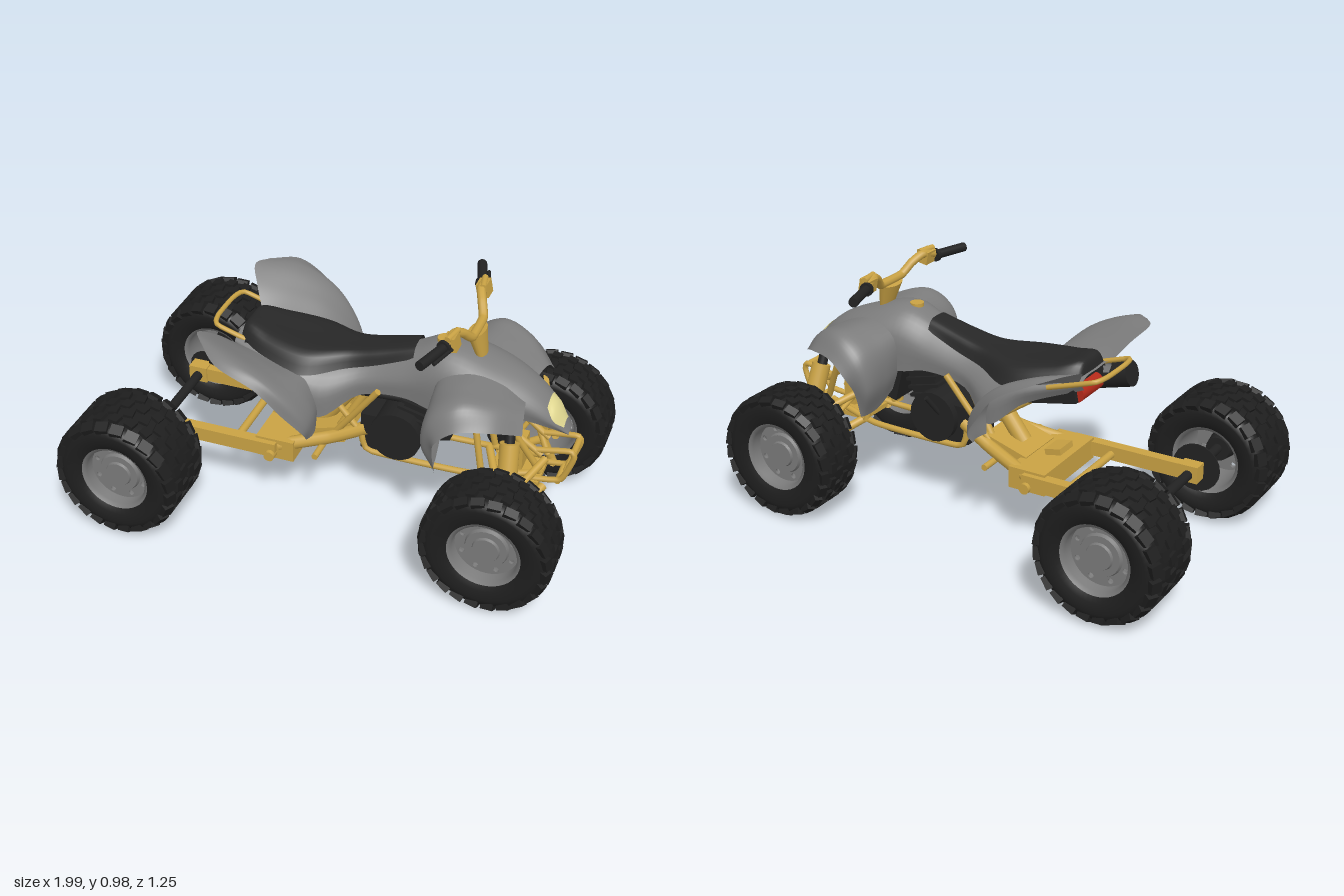
import * as THREE from 'three';
import { mergeGeometries } from 'three/addons/utils/BufferGeometryUtils.js';

const material = (name, color, side = THREE.DoubleSide) => {
  const m = new THREE.MeshStandardMaterial({ color, side });
  m.name = name;
  return m;
};
const V = (p) => new THREE.Vector3(...p);
const SIDES = [1, -1];

export function createModel() {
  const gold = material('gold metal', 0xc9a244, THREE.FrontSide);
  const grey = material('grey bodywork', 0x7d7d7d);
  const rimGrey = material('rim grey', 0x7a7a7a);
  const rubber = material('tyre rubber', 0x1e1e1e);
  const black = material('black parts', 0x222222);
  const seatBlack = material('seat black', 0x272727);
  const lens = material('headlight lens', 0xe2d992);
  const red = material('tail light red', 0xb52a1a);

  const model = new THREE.Group();
  model.name = 'quadBike';

  const add = (name, geo, mat, parent = model) => {
    const mesh = new THREE.Mesh(geo, mat);
    mesh.name = name;
    parent.add(mesh);
    return mesh;
  };
  // Bent tube through points
  const tube = (name, pts, r, mat = gold) => {
    const curve = new THREE.CatmullRomCurve3(pts.map(V), false, 'catmullrom', 0.25);
    return add(name, new THREE.TubeGeometry(curve, pts.length * 6, r, 10), mat);
  };
  // Capped cylinder from a to b
  const rod = (name, a, b, r, mat = gold, r2 = r) => {
    const d = V(b).sub(V(a));
    const mesh = add(name, new THREE.CylinderGeometry(r2, r, d.length(), 20), mat);
    mesh.position.copy(V(a)).addScaledVector(d, 0.5);
    mesh.quaternion.setFromUnitVectors(new THREE.Vector3(0, 1, 0), d.normalize());
    return mesh;
  };
  const box = (name, size, pos, mat = gold, tilt = 0) => {
    const mesh = add(name, new THREE.BoxGeometry(...size), mat);
    mesh.position.set(...pos);
    mesh.rotation.z = tilt;
    return mesh;
  };
  // Smooth surface through rows of points
  const skin = (name, rows, mat, nu = 18, nv = 36) => {
    const across = rows.map((r) => new THREE.CatmullRomCurve3(r.map(V), false, 'centripetal').getPoints(nu));
    const pos = [], idx = [];
    for (let i = 0; i <= nu; i++) {
      const line = new THREE.CatmullRomCurve3(across.map((a) => a[i]), false, 'centripetal');
      for (let j = 0; j <= nv; j++) pos.push(...line.getPoint(j / nv).toArray());
    }
    for (let i = 0; i < nu; i++) for (let j = 0; j < nv; j++) {
      const a = i * (nv + 1) + j, b = a + nv + 1;
      idx.push(a, a + 1, b, b, a + 1, b + 1);
    }
    const geo = new THREE.BufferGeometry();
    geo.setAttribute('position', new THREE.Float32BufferAttribute(pos, 3));
    geo.setIndex(idx);
    geo.computeVertexNormals();
    return add(name, geo, mat);
  };
  // Symmetric row: x, then [y, z] pairs from the centre outwards
  const rib = (x, ...half) => [
    ...half.slice(1).reverse().map(([y, z]) => [x, y, -z]), ...half.map(([y, z]) => [x, y, z])];

  // Wheels: tyre, staggered tread knobs, open dished rim
  const wheel = (name, x, z, w, s) => {
    const g = new THREE.Group();
    g.name = name;
    const prof = [[.138, -.85], [.165, -.96], [.205, -1], [.232, -.93], [.243, -.75], [.248, -.3]];
    const pts = [...prof, ...prof.slice().reverse().map(([r, t]) => [r, -t])];
    add('tyre', new THREE.LatheGeometry(pts.map(([r, t]) => new THREE.Vector2(r, t * w)), 48)
      .rotateX(Math.PI / 2), rubber, g);
    const knobs = [];
    [-.86, -.52, -.17, .17, .52, .86].forEach((t, k) => {
      const edge = Math.abs(t) > .8;
      for (let i = 0; i < 24; i++) {
        const b = new THREE.BoxGeometry(edge ? .05 : .038, .026, w * .29);
        if (edge) b.rotateX(Math.sign(t) * .45);
        b.rotateY((k % 2 ? 1 : -1) * .15).translate(0, edge ? .237 : .246, t * w);
        knobs.push(b.rotateZ((i + (k % 2) / 2) * Math.PI / 12));
      }
    });
    add('tread', mergeGeometries(knobs), rubber, g);
    const barrel = [[.142, -.88], [.126, -.8], [.122, 0], [.126, .8], [.142, .88]];
    add('rimBarrel', new THREE.LatheGeometry(barrel.map(([r, t]) => new THREE.Vector2(r, t * w)), 40)
      .rotateX(Math.PI / 2), rimGrey, g);
    const disc = new THREE.Shape().absarc(0, 0, .124, 0, Math.PI * 2);
    for (let i = 0; i < 8; i++) {
      const a = (i + .5) * Math.PI / 4;
      disc.holes.push(new THREE.Path().absarc(.104 * Math.cos(a), .104 * Math.sin(a), .011, 0, Math.PI * 2, true));
    }
    const face = w * .85 - .06;
    add('rimDisc', new THREE.ExtrudeGeometry(disc, { depth: .012, bevelEnabled: false, curveSegments: 20 })
      .translate(0, 0, face), rimGrey, g);
    add('hub', new THREE.CylinderGeometry(.08, .088, .02, 28).rotateX(Math.PI / 2)
      .translate(0, 0, face + .016), rimGrey, g);
    add('hubCap', new THREE.CylinderGeometry(.05, .055, .012, 24).rotateX(Math.PI / 2)
      .translate(0, 0, face + .03), rimGrey, g);
    add('brakeDrum', new THREE.CylinderGeometry(.06, .05, .06, 24).rotateX(Math.PI / 2)
      .translate(0, 0, face - .05), black, g);
    g.position.set(x, .265, z * s);
    if (s < 0) g.rotation.y = Math.PI;
    model.add(g);
  };
  for (const s of SIDES) {
    wheel('rearWheel', -.74, .465, .15, s);
    wheel('frontWheel', .735, .43, .112, s);
  }

  // Body shell from tail to nose
  skin('bodyShell', [
    rib(-.42, [.71, 0], [.71, .08], [.69, .12], [.66, .1]),
    rib(-.2, [.69, 0], [.68, .13], [.64, .19], [.58, .17]),
    rib(-.05, [.67, 0], [.66, .11], [.58, .19], [.47, .2]),
    rib(.1, [.69, 0], [.68, .07], [.62, .12], [.56, .12]),
    rib(.28, [.76, 0], [.75, .06], [.67, .12], [.59, .12]),
    rib(.42, [.82, 0], [.8, .08], [.72, .14], [.57, .14]),
    rib(.6, [.78, 0], [.76, .09], [.7, .16], [.62, .16]),
    rib(.75, [.715, 0], [.695, .07], [.65, .11], [.59, .1]),
    rib(.85, [.625, 0], [.61, .05], [.58, .07], [.55, .06]),
    rib(.91, [.525, 0], [.522, .02], [.518, .03], [.51, .02])], grey, 24, 48);
  skin('seat', [
    rib(-.41, [.70, 0], [.70, .06], [.69, .09]),
    rib(-.39, [.755, 0], [.75, .07], [.69, .11]),
    rib(-.28, [.738, 0], [.73, .11], [.67, .16]),
    rib(-.12, [.718, 0], [.71, .13], [.64, .185]),
    rib(.04, [.722, 0], [.715, .075], [.66, .105]),
    rib(.16, [.748, 0], [.74, .062], [.69, .085]),
    rib(.3, [.788, 0], [.78, .05], [.745, .075])], seatBlack, 20, 36);
  skin('headlight', [
    rib(.826, [.657, 0], [.652, .025], [.638, .055]),
    rib(.855, [.629, 0], [.618, .04], [.59, .068]),
    rib(.892, [.566, 0], [.562, .018], [.55, .036])], lens, 12, 12);

  for (const s of SIDES) {
    const flip = (rows) => rows.map((r) => r.map(([x, y, z]) => [x, y, z * s]));
    skin('rearFender', flip([
      [[-.41, .69, .13], [-.46, .76, .2], [-.5, .81, .28], [-.46, .81, .34]],
      [[-.32, .69, .16], [-.33, .74, .25], [-.35, .79, .36], [-.36, .78, .43]],
      [[-.2, .66, .18], [-.2, .7, .28], [-.2, .72, .38], [-.21, .69, .415]],
      [[-.1, .62, .18], [-.1, .63, .28], [-.1, .62, .36], [-.12, .58, .385]],
      [[-.05, .52, .19], [-.04, .53, .26], [-.04, .51, .32], [-.05, .48, .34]],
      [[-.05, .43, .2], [-.04, .43, .24], [-.04, .43, .27], [-.05, .43, .3]]]), grey);
    skin('frontFender', flip([
      [[.44, .48, .13], [.45, .43, .22], [.46, .42, .29], [.47, .42, .31]],
      [[.41, .58, .13], [.41, .56, .22], [.42, .55, .33], [.47, .54, .35]],
      [[.42, .72, .11], [.43, .7, .22], [.45, .68, .34], [.49, .61, .385]],
      [[.53, .76, .11], [.53, .76, .22], [.55, .75, .325], [.56, .67, .38]],
      [[.66, .73, .1], [.66, .735, .19], [.67, .73, .27], [.68, .67, .335]],
      [[.75, .67, .09], [.76, .675, .14], [.77, .665, .19], [.78, .62, .24]]]), grey);

    // Swing arm and axle carriers
    box('swingArm', [.52, .06, .045], [-.48, .275, .2 * s]);
    box('axleCarrier', [.08, .07, .06], [-.74, .275, .2 * s]);
    tube('swingArmBrace', [[-.22, .28, .18 * s], [-.02, .33, .12 * s], [.12, .39, .09 * s]], .027);
    rod('footPeg', [-.05, .29, .1 * s], [-.05, .29, .22 * s], .013);

    // Frame rails and struts
    tube('lowerRail', [[-.02, .5, .09 * s], [.1, .37, .1 * s], [.14, .29, .1 * s], [.55, .29, .1 * s],
      [.8, .33, .06 * s]], .013);
    tube('upperRail', [[-.35, .64, .09 * s], [.05, .6, .1 * s], [.4, .68, .08 * s], [.55, .62, .07 * s],
      [.82, .42, .06 * s]], .013);
    rod('frontStrut', [.52, .72, .06 * s], [.6, .29, .1 * s], .013);
    rod('noseStrut', [.68, .62, .14 * s], [.82, .34, .06 * s], .013);
    rod('seatStrut', [-.05, .29, .1 * s], [.18, .6, .13 * s], .013);
    rod('rearStrut', [-.02, .32, .08 * s], [.12, .56, .06 * s], .016);
    rod('subframeStrut', [-.02, .45, .1 * s], [-.3, .64, .1 * s], .012);

    // Front suspension
    for (const [y0, y1, r] of [[.29, .21, .017], [.42, .35, .015]])
      for (const x of [.62, .84]) rod('suspensionArm', [x, y0, .08 * s], [.74, y1, .33 * s], r);
    rod('tieRod', [.68, .38, .05 * s], [.68, .29, .33 * s], .01);
    rod('steeringKnuckle', [.74, .19, .33 * s], [.74, .38, .33 * s], .022);
    rod('stubAxle', [.74, .265, .32 * s], [.74, .265, .46 * s], .02, black);
    rod('shockBody', [.745, .385, .28 * s], [.73, .56, .215 * s], .038);
    rod('shockTop', [.73, .545, .217 * s], [.725, .61, .195 * s], .02, black);
    rod('shockFoot', [.745, .28, .3 * s], [.745, .39, .276 * s], .014);

    // Handlebar half: clamp, grip, lever
    box('barClamp', [.045, .055, .06], [.488, .943, .205 * s], gold, .2);
    rod('leverMount', [.495, .97, .16 * s], [.48, .97, .24 * s], .012);
    rod('gripFlange', [.47, .938, .235 * s], [.467, .938, .25 * s], .027, black);
    rod('grip', [.467, .938, .25 * s], [.425, .938, .39 * s], .019, black);
    rod('lever', [.5, .93, .22 * s], [.465, .93, .35 * s], .007, black);

    // Front bumper side
    tube('bumperSide', [[.8, .44, .06 * s], [.93, .46, .055 * s], [.945, .43, .055 * s],
      [.9, .32, .055 * s], [.78, .3, .06 * s]], .012);
  }

  // Swing arm centre, axle and brake discs
  rod('rearAxle', [-.74, .27, -.45], [-.74, .27, .45], .02, black);
  rod('brakeDisc', [-.74, .27, .248], [-.74, .27, .254], .1, black);
  rod('sprocket', [-.74, .27, -.254], [-.74, .27, -.248], .07, black);
  box('swingArmPlate', [.16, .09, .4], [-.23, .27, 0]);
  box('skidPlate', [.13, .03, .25], [-.23, .225, 0]);
  box('swingArmNeck', [.2, .07, .22], [-.07, .315, 0], gold, .3);
  box('linkLug', [.07, .025, .1], [-.26, .34, 0], gold, -.2);
  rod('crossTube', [-.4, .27, -.2], [-.4, .27, .2], .016);
  rod('pivotBolt', [-.24, .255, -.24], [-.24, .255, .24], .022);
  rod('rearShock', [-.1, .33, 0], [.1, .6, 0], .035);

  // Front bumper crosspieces and bulkhead
  for (const [x, y] of [[.94, .45], [.92, .37], [.89, .31]])
    rod('bumperBar', [x, y, -.06], [x, y, .06], .012);
  box('frontBulkhead', [.2, .02, .16], [.72, .29, 0]);
  box('steeringBlock', [.05, .12, .1], [.72, .38, 0]);

  // Steering stem and handlebar
  rod('steeringColumn', [.7, .38, 0], [.54, .8, 0], .016);
  rod('stemCover', [.55, .78, 0], [.525, .885, 0], .038, gold, .065).scale.x = .55;
  tube('handlebar', [[.475, .945, -.24], [.485, .96, -.17], [.505, .935, -.12], [.525, .893, -.07],
    [.525, .893, .07], [.505, .935, .12], [.485, .96, .17], [.475, .945, .24]], .018);
  rod('fuelCap', [.4, .79, 0], [.4, .822, 0], .028);

  // Engine
  rod('crankcase', [.25, .4, -.13], [.25, .4, .13], .105, black);
  box('gearbox', [.2, .16, .2], [.2, .38, 0], black);
  box('cylinderBlock', [.12, .2, .15], [.33, .52, 0], black, -.25);
  for (let i = 0; i < 5; i++)
    box('coolingFin', [.15, .012, .18], [.31 + i * .009, .47 + i * .033, 0], black, -.25);
  box('radiator', [.04, .18, .24], [.43, .52, 0], black, .25);
  rod('kickStarter', [.22, .42, -.12], [.25, .5, -.17], .01, black);

  // Exhaust, airbox, grab rail and tail light
  rod('muffler', [-.49, .65, .16], [-.08, .54, .16], .052, black);
  tube('exhaustPipe', [[-.1, .545, .15], [.02, .55, .08], [.3, .55, .06], [.42, .5, .05]], .02, black);
  box('airbox', [.34, .1, .24], [-.22, .62, 0], black, -.2);
  tube('grabRail', [[-.3, .67, -.17], [-.5, .735, -.17], [-.525, .742, -.1], [-.525, .742, .04],
    [-.5, .735, .1], [-.3, .67, .1]], .01);
  rod('tailLight', [-.385, .635, -.1], [-.385, .635, .06], .034, red);

  return model;
}
